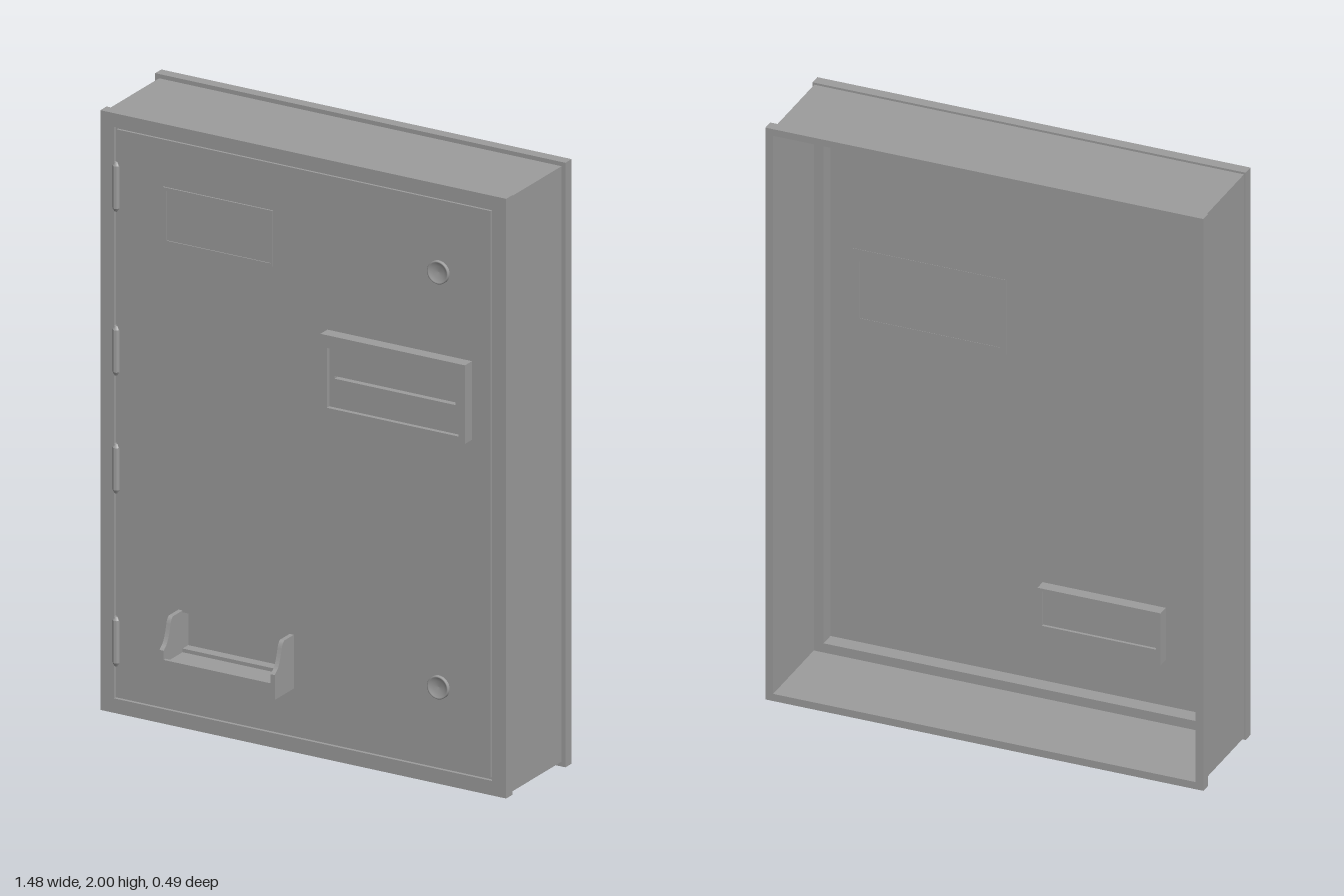
import * as THREE from 'three';

const material = new THREE.MeshStandardMaterial({ color: 0x9c9c9c });

function add(parent, name, geometry) {
  const mesh = new THREE.Mesh(geometry, material);
  mesh.name = name;
  parent.add(mesh);
  return mesh;
}

// Rectangles are [x0, y0, x1, y1]
const corners = ([x0, y0, x1, y1]) => [[x0, y0], [x1, y0], [x1, y1], [x0, y1]].map((p) => new THREE.Vector2(...p));

// Rectangular plate between two depths, with optional rectangular holes
function plate(rect, z0, z1, holes = []) {
  const shape = new THREE.Shape(corners(rect));
  for (const h of holes) shape.holes.push(new THREE.Path(corners(h)));
  return new THREE.ExtrudeGeometry(shape, { depth: z1 - z0, bevelEnabled: false }).translate(0, 0, z0);
}

export function createModel() {
  const model = new THREE.Group();
  model.name = 'wallCabinet';

  // Open-backed housing with flanges at the front and rear
  const inside = [-0.712, 0.025, 0.712, 1.977];
  const doorway = [-0.681, 0.057, 0.679, 1.948];
  add(model, 'housingWalls', plate([-0.724, 0.016, 0.724, 1.986], -0.21, 0.096, [inside]));
  add(model, 'rearFlange', plate([-0.738, 0, 0.738, 2], -0.245, -0.208, [inside]));
  add(model, 'frontFlange', plate([-0.73, 0.009, 0.73, 1.993], 0.096, 0.133, [doorway]));
  add(model, 'doorFrame', plate(inside, 0.065, 0.096, [doorway]));

  // Thin door: backing sheet, raised panel and framed window
  const door = new THREE.Group();
  door.name = 'door';
  model.add(door);
  const trayHole = [-0.436, 0.27, -0.051, 0.39];
  const pane = [-0.491, 1.61, -0.117, 1.775];
  add(door, 'doorSheet', plate(doorway, 0.118, 0.122, [trayHole]));
  add(door, 'doorPanel', plate([-0.673, 0.065, 0.672, 1.94], 0.122, 0.13, [trayHole]));
  add(door, 'windowBezel', plate([-0.505, 1.6, -0.11, 1.785], 0.13, 0.135, [pane]));
  add(door, 'windowPane', plate(pane, 0.13, 0.1315));

  // Hinge knuckles with chamfered ends
  for (const y of [1.75, 1.208, 0.818, 0.246]) {
    const profile = [[0, -0.082], [0.006, -0.082], [0.013, -0.07], [0.013, 0.07], [0.006, 0.082], [0, 0.082]];
    const knuckle = new THREE.LatheGeometry(profile.map((p) => new THREE.Vector2(...p)), 12).toNonIndexed();
    knuckle.computeVertexNormals();
    add(model, 'hinge', knuckle).position.set(-0.676, y, 0.127);
  }

  // Round dished locks
  for (const y of [1.702, 0.329]) {
    const rim = [[0.038, 0], [0.038, 0.011], [0.035, 0.012], [0.033, 0.011], [0.02, 0.005], [0, 0.003]];
    const lock = new THREE.LatheGeometry(rim.map((p) => new THREE.Vector2(...p)), 32).rotateX(Math.PI / 2);
    add(door, 'lock', lock).position.set(0.487, y, 0.129);
  }

  // Slot plate: raised surround and sunken face with a narrow slot
  const slot = new THREE.Group();
  slot.name = 'slotPlate';
  door.add(slot);
  const face = [0.108, 1.19, 0.582, 1.388];
  add(slot, 'slotSurround', plate([0.085, 1.17, 0.605, 1.43], 0.117, 0.172, [face]));
  add(slot, 'slotFace', plate(face, 0.125, 0.157, [[0.127, 1.285, 0.562, 1.294]]));

  // Tray: two curved cheeks, a floor with a front lip and a shallow box behind the door
  const tray = new THREE.Group();
  tray.name = 'tray';
  door.add(tray);
  const cheek = new THREE.Shape();
  cheek.moveTo(0.12, 0.218);
  cheek.lineTo(0.243, 0.218);
  cheek.lineTo(0.243, 0.3);
  cheek.lineTo(0.236, 0.307);
  cheek.quadraticCurveTo(0.217, 0.315, 0.203, 0.37);
  cheek.quadraticCurveTo(0.197, 0.395, 0.185, 0.396);
  cheek.lineTo(0.12, 0.396);
  for (const x of [-0.451, -0.051]) {
    // Profile (z, y) turned so that the thickness runs along x
    const side = new THREE.ExtrudeGeometry(cheek, { depth: 0.015, bevelEnabled: false, curveSegments: 8 });
    add(tray, 'trayCheek', side.rotateY(-Math.PI / 2).translate(x + 0.015, 0, 0));
  }
  add(tray, 'trayFloor', plate([-0.436, 0.218, -0.051, 0.258], 0.12, 0.231));
  add(tray, 'trayLip', plate([-0.436, 0.218, -0.051, 0.27], 0.231, 0.243));
  add(tray, 'trayRearBox', plate([-0.451, 0.218, -0.036, 0.4], 0.078, 0.12, [trayHole]));
  add(tray, 'trayBack', plate(trayHole, 0.088, 0.096));

  return model;
}
